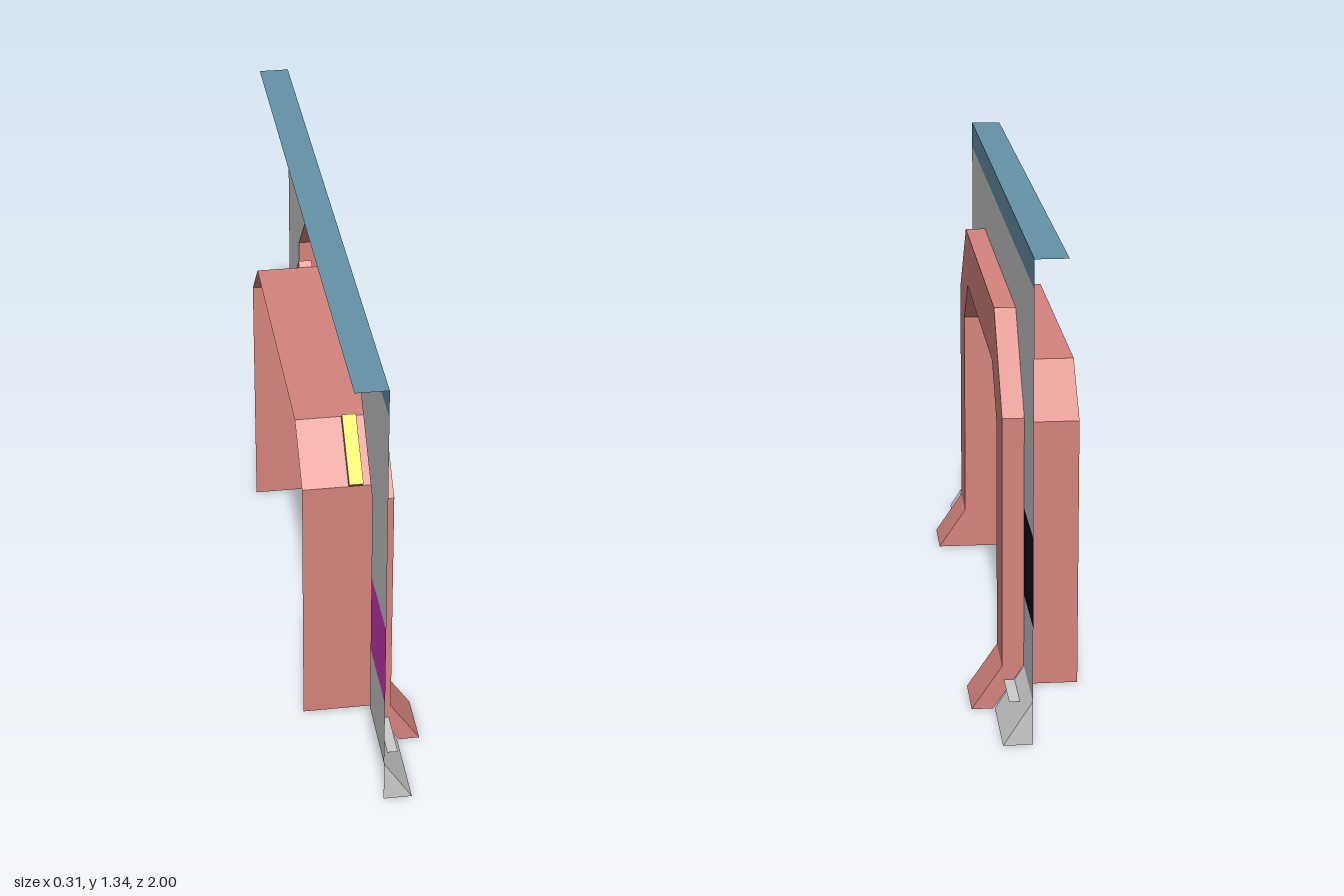
import * as THREE from 'three';

const WALL_X = 0.01, TRIM_X = 0.07, BACK_X = -0.16;
const SKIRT_Y = 0.125;

const paint = (color) => new THREE.MeshStandardMaterial({ color, flatShading: true, side: THREE.DoubleSide });

// Faceted surface lofted between successive rows of [x, y, z] points
function loft(rows) {
  const pos = [];
  for (let i = 0; i < rows.length - 1; i++) {
    for (let j = 0; j < rows[i].length - 1; j++) {
      const a = rows[i][j], b = rows[i][j + 1], c = rows[i + 1][j + 1], d = rows[i + 1][j];
      pos.push(...a, ...b, ...c, ...a, ...c, ...d);
    }
  }
  const geo = new THREE.BufferGeometry();
  geo.setAttribute('position', new THREE.Float32BufferAttribute(pos, 3));
  geo.computeVertexNormals();
  return geo;
}

// Flat panel from (z, y) corners, facing +x on the wall plane
function panel(corners) {
  const shape = new THREE.Shape(corners.map(([z, y]) => new THREE.Vector2(-z, y)));
  return new THREE.ShapeGeometry(shape).rotateY(Math.PI / 2).translate(WALL_X, 0, 0);
}

// Arch contour as [z, y], from the floor at +z over to the floor at -z
function arch(halfWidth, shoulder, halfTop, top) {
  const half = [[halfWidth, 0], [halfWidth, SKIRT_Y], [halfWidth, shoulder], [halfTop, top]];
  return [...half, ...half.slice().reverse().map(([z, y]) => [-z, y])];
}

export function createModel() {
  const model = new THREE.Group();
  const grey = paint(0xcccccc), red = paint(0xd5837d), teal = paint(0x6592a8);
  const purple = paint(0xcc3ab9), black = paint(0x101010), yellow = paint(0xf0ff10);
  const add = (name, geo, mat) => {
    const mesh = new THREE.Mesh(geo, mat);
    mesh.name = name;
    model.add(mesh);
  };

  const outer = arch(0.75, 0.84, 0.505, 1.085);
  const inner = arch(0.585, 0.778, 0.44, 0.918);

  // Wall above the bands, cut out around the arch
  add('upperWall', panel([[1, 0.585], [1, 1.255], [-1, 1.255], [-1, 0.585],
    ...outer.slice(1, -1).map(([z, y]) => [z, y === SKIRT_Y ? 0.585 : y]).reverse()]), grey);

  // Top border and its backward ledge
  add('topBorder', loft([[1, -1].map((z) => [WALL_X, 1.255, z]),
    [1, -1].map((z) => [WALL_X, 1.335, z]), [1, -1].map((z) => [-0.08, 1.335, z])]), teal);

  // Lower wall, coloured band and sloped skirting on both sides
  for (const s of [1, -1]) {
    const side = s > 0 ? 'left' : 'right';
    const block = (y0, y1) => panel([[s, y0], [s, y1], [s * 0.75, y1], [s * 0.75, y0]]);
    add(side + 'Band', block(0.335, 0.585), s > 0 ? purple : black);
    add(side + 'LowerWall', block(SKIRT_Y, 0.335), grey);
    add(side + 'Skirting', loft([
      [[0.09, 0, s], [0.09, 0, s * 0.75]],
      [[WALL_X, SKIRT_Y, s], [WALL_X, SKIRT_Y, s * 0.75]]]), grey);
    add(side + 'SkirtingEnd', loft([
      [[WALL_X, 0, s], [0.09, 0, s]],
      [[WALL_X, SKIRT_Y, s], [WALL_X, SKIRT_Y, s]]]), grey);
    add(side + 'SkirtingPlate', loft([
      [[0.03, 0.085, s * 0.74], [0.065, 0.085, s * 0.74]],
      [[0.03, 0.085, s * 0.905], [0.065, 0.085, s * 0.905]]]), grey);
  }

  // Arch trim: outer rim and front face, kicked forward at the floor
  const kick = (y) => (y === 0 ? 0.085 : 0);
  add('archTrim', loft(outer.map(([z, y], i) => {
    const [zi, yi] = inner[i];
    return [[WALL_X + kick(y), y, z], [TRIM_X + kick(y), y, z], [TRIM_X + kick(yi), yi, zi]];
  })), red);

  // Passage lining, with a slot left open in each chamfer for the lamp
  const lampBack = -0.03, lampFront = WALL_X;
  const strip = (points, xBack, xFront) => loft(points.map(([z, y]) =>
    [[xFront ?? TRIM_X + kick(y), y, z], [xBack, y, z]]));
  add('leftLining', strip(inner.slice(0, 3), BACK_X), red);
  add('topLining', strip(inner.slice(3, 5), BACK_X), red);
  add('rightLining', strip(inner.slice(5), BACK_X), red);

  for (const s of [1, -1]) {
    const side = s > 0 ? 'left' : 'right';
    const chamfer = [[s * 0.585, 0.778], [s * 0.44, 0.918]];
    const raised = chamfer.map(([z, y]) => [z + s * 0.015, y + 0.015]);
    add(side + 'ChamferFront', strip(chamfer, lampFront), red);
    add(side + 'ChamferBack', strip(chamfer, BACK_X, lampBack), red);
    // Recess walls and the lamp closing it
    for (const x of [lampBack, lampFront]) {
      add(side + 'LampRecessSide', loft([chamfer, raised].map((row) => row.map(([z, y]) => [x, y, z]))), red);
    }
    for (const i of [0, 1]) {
      add(side + 'LampRecessEnd', strip([chamfer[i], raised[i]], lampBack, lampFront), red);
    }
    add(side + 'Lamp', strip(raised, lampBack, lampFront), yellow);
  }
  return model;
}
